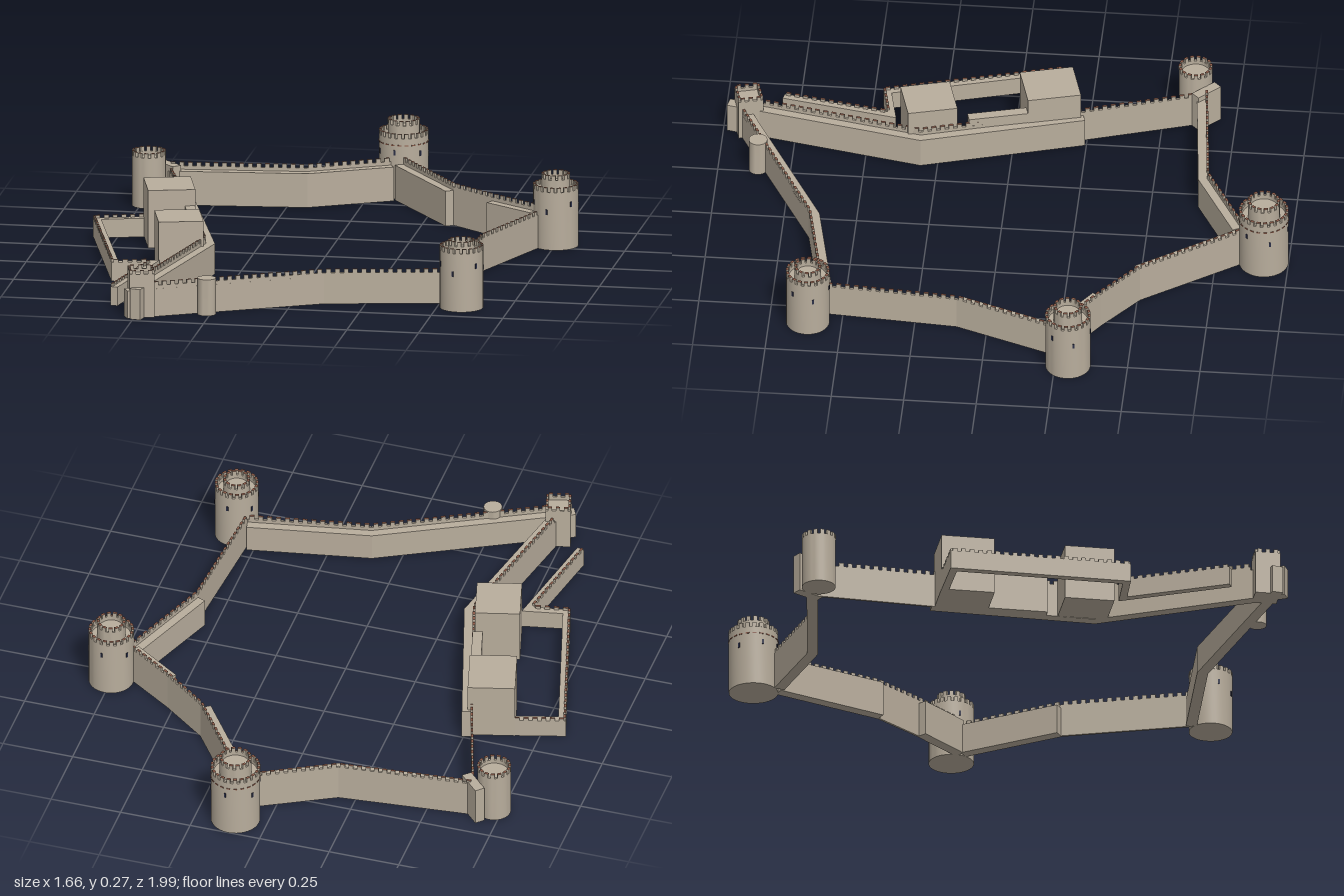
import * as THREE from 'three';
import { toCreasedNormals } from 'three/addons/utils/BufferGeometryUtils.js';

export function createModel() {
  const model = new THREE.Group();
  model.name = 'castleWalls';
  const mat = (name, color) => {
    const m = new THREE.MeshStandardMaterial({ color });
    m.name = name;
    return m;
  };
  const stone = mat('stone', 0xb8ad9c);
  const coping = mat('copingBrown', 0x8a5a48);
  const dark = mat('windowDark', 0x2c3048);
  // box whose top face is coping
  const capped = [stone, stone, coping, stone, stone, stone];

  const add = (parent, name, geometry, material, x = 0, y = 0, z = 0, ry = 0) => {
    const mesh = new THREE.Mesh(geometry, material);
    mesh.name = name;
    mesh.position.set(x, y, z);
    mesh.rotation.y = ry;
    parent.add(mesh);
    return mesh;
  };
  const box = (parent, name, w, h, d, x, y, z, ry = 0, material = stone) =>
    add(parent, name, new THREE.BoxGeometry(w, h, d), material, x, y + h / 2, z, ry);
  const group = (name, x = 0, z = 0, ry = 0, parent = model) => {
    const g = new THREE.Group();
    g.name = name;
    g.position.set(x, 0, z);
    g.rotation.y = ry;
    parent.add(g);
    return g;
  };

  // plan outline offset to the right of the path, with mitred corners
  function offsetPath(pts, t) {
    const normal = (a, b) => {
      const l = Math.hypot(b[0] - a[0], b[1] - a[1]);
      return [-(b[1] - a[1]) / l, (b[0] - a[0]) / l];
    };
    return pts.map((p, i) => {
      const n0 = normal(pts[Math.max(i - 1, 0)], pts[Math.max(i, 1)]);
      const last = pts.length - 1;
      const n1 = normal(pts[Math.min(i, last - 1)], pts[Math.min(i + 1, last)]);
      const k = t / (1 + n0[0] * n1[0] + n0[1] * n1[1]);
      return [p[0] + (n0[0] + n1[0]) * k, p[1] + (n0[1] + n1[1]) * k];
    });
  }
  function band(parent, name, pts, t, h) {
    const outline = [...pts, ...offsetPath(pts, t).reverse()];
    const shape = new THREE.Shape(outline.map(([x, z]) => new THREE.Vector2(x, -z)));
    const geo = new THREE.ExtrudeGeometry(shape, { depth: h, bevelEnabled: false });
    geo.rotateX(-Math.PI / 2);
    add(parent, name, geo, stone);
  }
  // row of merlons along the outer edge
  function merlons(parent, pts, h, size = 0.013, pitch = 0.03) {
    for (let i = 0; i + 1 < pts.length; i++) {
      const [ax, az] = pts[i], dx = pts[i + 1][0] - ax, dz = pts[i + 1][1] - az;
      const len = Math.hypot(dx, dz), n = Math.max(1, Math.round(len / pitch));
      for (let k = 0; k < n; k++) {
        const s = (k + 0.5) / n;
        box(parent, 'merlon', len / n * 0.55, size, 0.008,
          ax + dx * s - dz / len * 0.004, h, az + dz * s + dx / len * 0.004, -Math.atan2(dz, dx), capped);
      }
    }
  }
  // thin crenellated wall, with thick walkways behind some stretches
  function wall(name, pts, h, walks) {
    const g = group(name);
    band(g, 'parapet', pts, 0.008, h);
    walks.forEach((w) => band(g, 'walkway', w, 0.038, h - 0.012));
    merlons(g, pts, h);
  }

  const north = [[-0.66, -0.655], [-0.19, -0.70], [0.08, -0.84]];
  wall('northWall', north, 0.132, [north]);
  const ne = [[0.13, -0.84], [0.365, -0.51], [0.52, -0.39], [0.69, -0.275]];
  wall('northEastWall', ne, 0.136, [ne.slice(0, 2), ne.slice(2)]);
  const east = [[0.70, -0.24], [0.57, 0.105], [0.535, 0.56]];
  wall('eastWall', east, 0.118, [east.slice(0, 2)]);
  const south = [[0.53, 0.575], [0.11, 0.655], [-0.52, 0.975]];
  wall('southWall', south.slice(0, 2).concat([[-0.44, 0.934]]), 0.11, [south]);
  const west = [[-0.51, 0.98], [-0.37, 0.31], [-0.53, -0.235], [-0.65, -0.61]];
  wall('westWall', [[-0.485, 0.86], ...west.slice(1)], 0.12, [west.slice(0, 3)]);

  // raised strip and wall stub
  box(model, 'raisedWalk', 0.035, 0.147, 0.21, -0.455, 0, 0.05, 0.26);
  box(model, 'wallStub', 0.1, 0.14, 0.035, -0.66, 0, -0.65, -0.8);

  // round towers: body, rim, optional upper turret
  function tower(name, x, z, r, h, r2 = 0, h2 = 0, slits = []) {
    const g = group(name, x, z);
    const m = 0.016;
    const profile = [[0, 0], [r, 0], [r, h - m], [r - 0.009, h - m], [r - 0.009, h - 0.03]];
    if (r2) {
      profile.push([r2, h - 0.03], [r2, h2 - m], [r2 - 0.008, h2 - m], [r2 - 0.008, h2 - 0.03], [0, h2 - 0.03]);
    } else profile.push([0, h - 0.03]);
    const geo = new THREE.LatheGeometry(profile.map((p) => new THREE.Vector2(...p)), 36);
    add(g, 'towerBody', toCreasedNormals(geo, 0.6), stone);
    const ring = (radius, top) => {
      const n = Math.round(radius * Math.PI * 2 / 0.024);
      for (let i = 0; i < n; i++) {
        const a = (i / n) * Math.PI * 2;
        box(g, 'towerMerlon', 0.014, m, 0.009,
          Math.sin(a) * (radius - 0.0045), top - m, Math.cos(a) * (radius - 0.0045), a, capped);
      }
    };
    ring(r, h);
    if (r2) ring(r2, h2);
    slits.forEach(([a, y]) => box(g, 'windowSlit', 0.007, 0.018, 0.004,
      Math.sin(a) * r, y, Math.cos(a) * r, a, dark));
    return g;
  }
  const round = [[-0.25, 0.125], [0.9, 0.15], [1.9, 0.13], [3.0, 0.15], [4.2, 0.14], [5.2, 0.15]];
  const keep = tower('northTower', 0.113, -0.915, 0.085, 0.23, 0.055, 0.268, [[-0.2, 0.155], ...round.slice(1)]);
  tower('eastTower', 0.752, -0.295, 0.078, 0.22, 0.049, 0.256, round);
  tower('southEastTower', 0.583, 0.617, 0.075, 0.222, 0.046, 0.24, round);
  tower('northWestTower', -0.722, -0.607, 0.058, 0.195);

  // dotted brown course round the keep
  for (let i = 0; i < 22; i++) {
    const a = (i / 22) * Math.PI * 2;
    box(keep, 'brownCourse', 0.013, 0.004, 0.003, Math.sin(a) * 0.085, 0.188, Math.cos(a) * 0.085, a, coping);
  }

  // square corner tower
  const sq = group('squareTower', -0.483, 0.913, 0.26);
  box(sq, 'towerBody', 0.086, 0.142, 0.086, 0, 0, 0);
  for (let i = 0; i < 4; i++) {
    const side = group('crenellatedSide', 0, 0, i * Math.PI / 2, sq);
    box(side, 'parapet', 0.086, 0.012, 0.008, 0, 0.142, 0.039);
    for (let k = -1; k <= 1; k++) box(side, 'merlon', 0.014, 0.013, 0.008, k * 0.028, 0.154, 0.039, 0, capped);
  }

  // small half-round turret on the south wall
  const turret = toCreasedNormals(new THREE.CylinderGeometry(0.032, 0.032, 0.128, 24), 0.6);
  add(model, 'wallTurret', turret, stone, -0.263, 0.064, 0.862);

  // gate blocks
  box(model, 'northBlock', 0.163, 0.204, 0.185, -0.565, 0, -0.12, 0.26);
  box(model, 'southBlock', 0.155, 0.197, 0.172, -0.46, 0, 0.29, 0.26);

  // low outer court wall, parapet on the outer side
  const court = [[-0.61, 0.80], [-0.54, 0.44], [-0.665, 0.465], [-0.835, -0.14], [-0.66, -0.19]];
  const outer = group('outerCourt');
  band(outer, 'courtWall', court, 0.026, 0.066);
  merlons(outer, court, 0.066, 0.01);

  return model;
}
